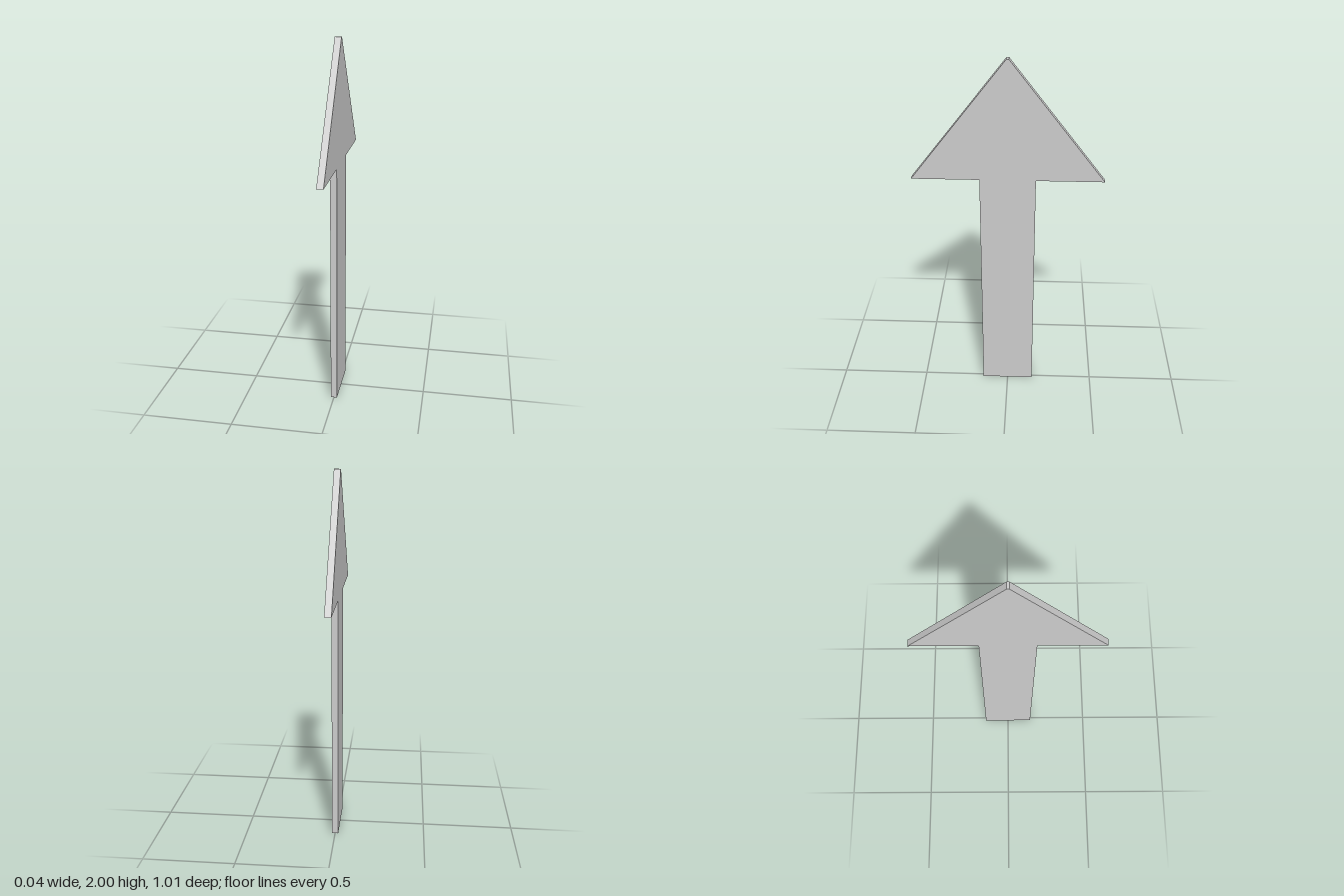
import * as THREE from 'three';

export function createModel() {
  const group = new THREE.Group();
  group.name = 'arrowSign';
  const thickness = 0.035;

  // Right half of the arrow outline, mirrored for the left half
  const half = [[0.147, 0], [0.147, 1.355], [0.504, 1.355], [0.006, 2]];
  const outline = [...half, ...half.map(([u, y]) => [-u, y]).reverse()];
  const shape = new THREE.Shape(outline.map(([u, y]) => new THREE.Vector2(u, y)));

  // Flat plate, turned so its broad faces look along x
  const geometry = new THREE.ExtrudeGeometry(shape, { depth: thickness, bevelEnabled: false });
  geometry.translate(0, 0, -thickness / 2);
  geometry.rotateY(Math.PI / 2);

  const plate = new THREE.Mesh(
    geometry,
    new THREE.MeshStandardMaterial({ color: 0xcccccc, flatShading: true })
  );
  plate.name = 'arrowPlate';
  group.add(plate);
  return group;
}
